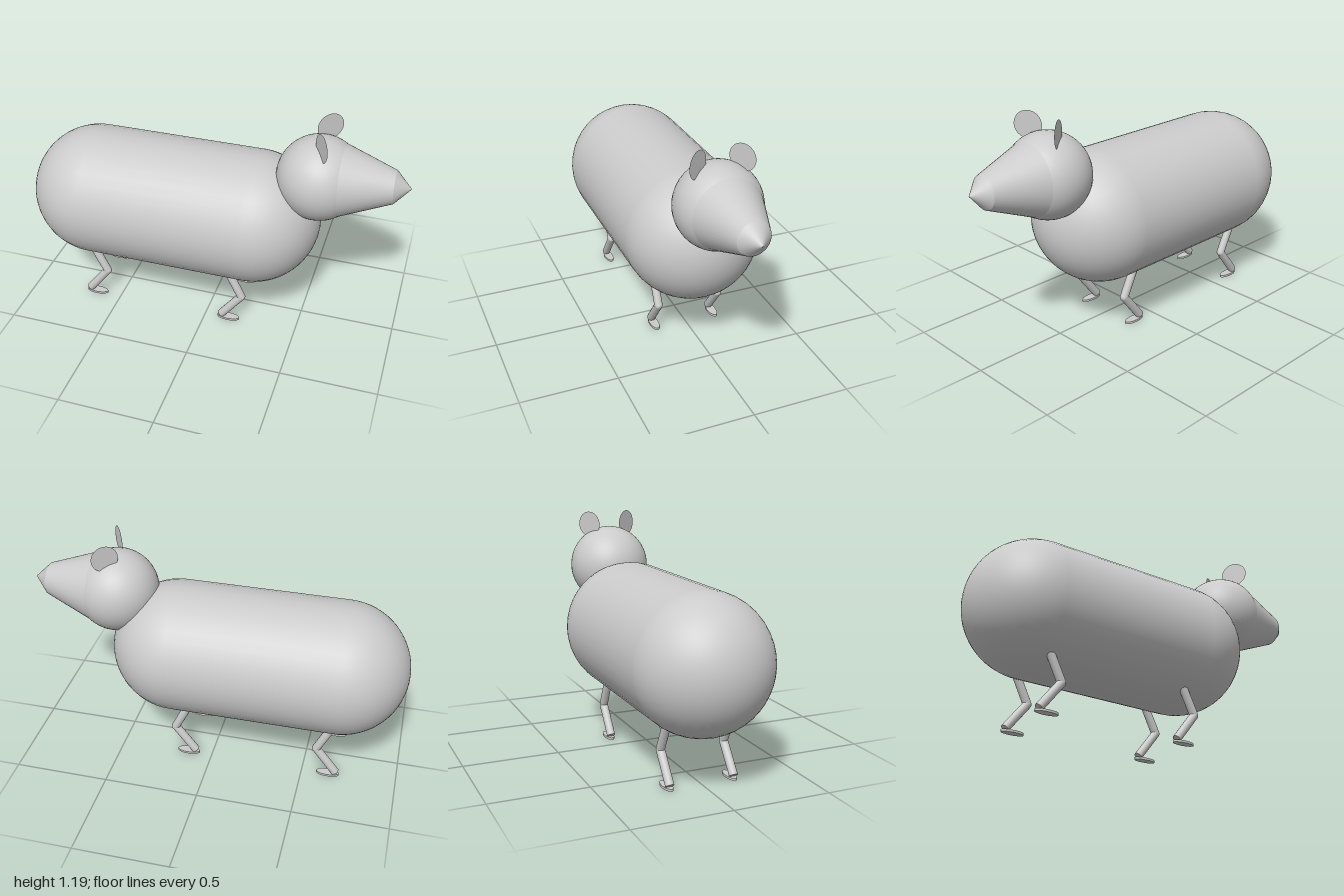
import * as THREE from 'three';

const V = (x, y, z = 0) => new THREE.Vector3(x, y, z);
const grey = new THREE.MeshStandardMaterial({ color: 0xcccccc });
const thin = new THREE.MeshStandardMaterial({ color: 0xcccccc, side: THREE.DoubleSide });

function add(parent, name, geometry, material = grey) {
  const mesh = new THREE.Mesh(geometry, material);
  mesh.name = name;
  parent.add(mesh);
  return mesh;
}

// Round rod between two points
function rod(parent, name, a, b, radius) {
  const mesh = add(parent, name, new THREE.CylinderGeometry(radius, radius, a.distanceTo(b), 16));
  mesh.position.copy(a).lerp(b, 0.5);
  mesh.quaternion.setFromUnitVectors(V(0, 1), b.clone().sub(a).normalize());
}

// Bent leg with a flat oval foot; the origin is on the ground below the foot's middle
function makeLeg(name, x, z) {
  const leg = new THREE.Group();
  leg.name = name;
  leg.position.set(x, 0, z);
  const hip = V(-0.014, 0.34), knee = V(0.071, 0.165), ankle = V(-0.04, 0.02);
  rod(leg, 'upperLeg', hip, knee, 0.022);
  rod(leg, 'lowerLeg', knee, ankle, 0.022);
  add(leg, 'knee', new THREE.SphereGeometry(0.022, 16, 12)).position.copy(knee);
  const foot = add(leg, 'foot', new THREE.CylinderGeometry(1, 1, 0.012, 24));
  foot.scale.set(0.061, 1, 0.024);
  foot.position.y = 0.006;
  return leg;
}

export function createModel() {
  const model = new THREE.Group();
  model.name = 'animal';

  // Body
  const body = add(model, 'body', new THREE.CapsuleGeometry(0.35, 0.865, 16, 40));
  body.rotation.z = -Math.PI / 2;
  body.position.set(-0.2175, 0.59, 0);

  // Head and tapering snout, tipped slightly upward
  const head = new THREE.Group();
  head.name = 'head';
  head.position.set(0.543, 0.887, 0);
  add(head, 'skull', new THREE.SphereGeometry(0.217, 40, 28));
  const cone = (name, r0, r1, y0, y1) => {
    const mesh = add(head, name, new THREE.CylinderGeometry(r1, r0, y1 - y0, 40, 1, true));
    mesh.geometry.translate(0, (y0 + y1) / 2, 0);
    mesh.rotation.z = -Math.PI / 2 + 0.035;
  };
  cone('snout', 0.182, 0.084, 0.118, 0.374);
  cone('noseTip', 0.084, 0, 0.374, 0.454);
  model.add(head);

  // Flat round ears turned towards the snout
  for (const [name, z, nx, nz] of [['leftEar', 0.113, 0.83, -0.56], ['rightEar', -0.11, 0.81, 1.15]]) {
    const ear = add(model, name, new THREE.CircleGeometry(0.07, 32), thin);
    ear.position.set(0.562, 1.119, z);
    ear.rotation.y = Math.atan2(nx, nz);
  }

  // Legs
  for (const [end, x] of [['front', 0.13], ['hind', -0.64]])
    for (const [side, z] of [['Left', 0.169], ['Right', -0.169]])
      model.add(makeLeg(`${end}${side}Leg`, x, z));

  return model;
}
